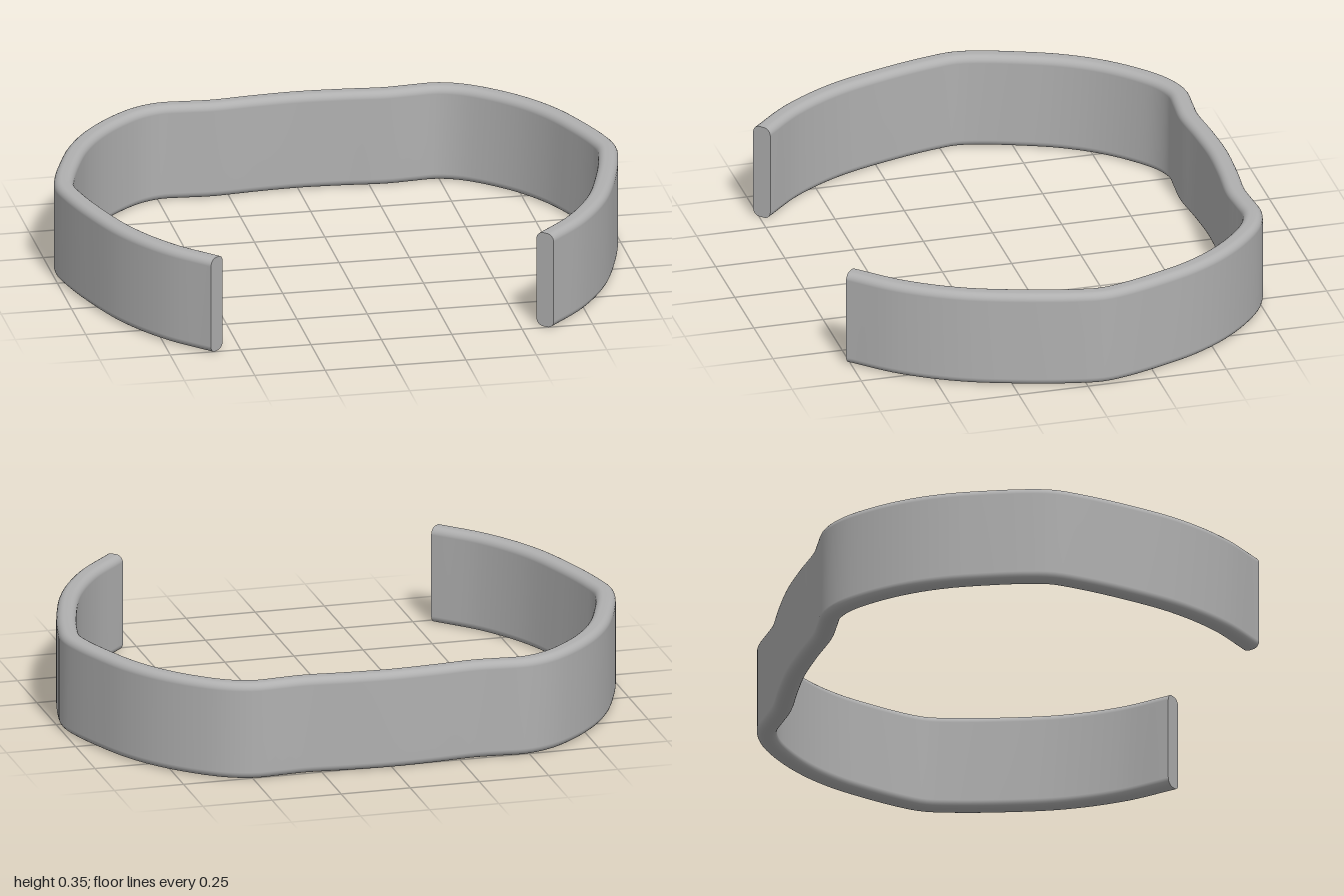
import * as THREE from 'three';

const HEIGHT = 0.35, THICK = 0.07, RADIUS = 0.026, STEPS = 180, ARC = 6;

// Rounded-rectangle band section, counter-clockwise: x = outward, y = up
function bandSection() {
  const pts = [];
  const cx = THICK / 2 - RADIUS, cy = HEIGHT / 2 - RADIUS;
  [[1, 1], [-1, 1], [-1, -1], [1, -1]].forEach(([sx, sy], q) => {
    for (let i = 0; i <= ARC; i++) {
      const a = (q + i / ARC) * Math.PI / 2;
      pts.push(new THREE.Vector2(sx * cx + RADIUS * Math.cos(a), sy * cy + RADIUS * Math.sin(a)));
    }
  });
  return pts;
}

// Centre line in plan: left half from the open end to the back, then mirrored
function bandPath() {
  const half = [
    [0.583, 0.742], [0.72, 0.595], [0.832, 0.41], [0.91, 0.19], [0.95, 0.03],
    [0.962, -0.06], [0.945, -0.15], [0.897, -0.29], [0.845, -0.41], [0.772, -0.525],
    [0.675, -0.63], [0.575, -0.705], [0.49, -0.734], [0.4, -0.73], [0.31, -0.724],
    [0.16, -0.737],
  ];
  const all = [...half, [0, -0.745], ...half.map(([x, z]) => [-x, z]).reverse()];
  return new THREE.CatmullRomCurve3(all.map(([x, z]) => new THREE.Vector3(x, HEIGHT / 2, z)));
}

// Sweep the section along the path, with flat end caps
function sweepBand(path, section) {
  const n = section.length, pos = [], index = [];
  const addRing = (t) => {
    const p = path.getPointAt(t), d = path.getTangentAt(t);
    const start = pos.length / 3;
    for (const s of section) pos.push(p.x - d.z * s.x, p.y + s.y, p.z + d.x * s.x);
    return start;
  };
  for (let i = 0; i <= STEPS; i++) addRing(i / STEPS);
  for (let i = 0; i < STEPS; i++) {
    for (let j = 0; j < n; j++) {
      const a = i * n + j, b = i * n + (j + 1) % n;
      index.push(a, a + n, b + n, a, b + n, b);
    }
  }
  // End caps use their own vertices so their edges stay sharp
  for (const t of [0, 1]) {
    const s = addRing(t);
    for (let j = 1; j < n - 1; j++) {
      if (t === 0) index.push(s, s + j, s + j + 1);
      else index.push(s, s + j + 1, s + j);
    }
  }
  const geo = new THREE.BufferGeometry();
  geo.setAttribute('position', new THREE.Float32BufferAttribute(pos, 3));
  geo.setIndex(index);
  geo.computeVertexNormals();
  return geo;
}

export function createModel() {
  const group = new THREE.Group();
  group.name = 'cuffBracelet';
  const metal = new THREE.MeshStandardMaterial({ color: 0xb0b0b0 });
  metal.name = 'grey metal';
  const band = new THREE.Mesh(sweepBand(bandPath(), bandSection()), metal);
  band.name = 'band';
  group.add(band);
  return group;
}
